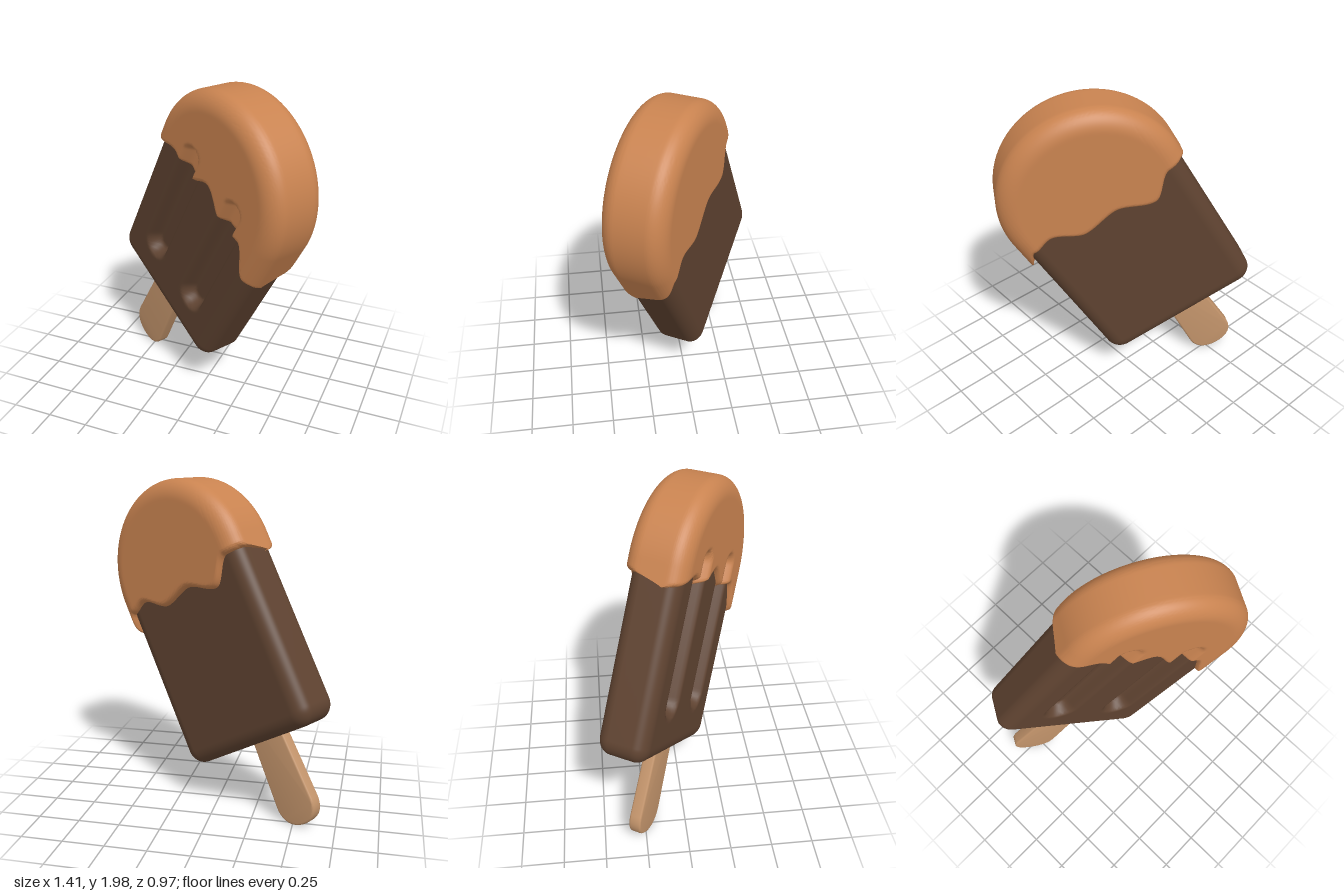
import * as THREE from 'three';
import { mergeVertices, toCreasedNormals } from 'three/addons/utils/BufferGeometryUtils.js';

const { clamp, lerp, smoothstep } = THREE.MathUtils;
const DOME_Y = 1.36; // centre height of the round top

// Sizes of the chocolate bar and of the coating that wraps it
const BAR = { width: 0.512, depth: 0.153, round: 0.08, base: 0.245, corner: 0.1 };
const COAT = { width: 0.542, depth: 0.186, round: 0.1, base: -9, corner: 0.1 };

// Lower edge of the coating, [across, height], on each face
const DRIP_FRONT = [[-0.55, 1.235], [-0.34, 1.31], [-0.2, 1.245], [-0.02, 1.36],
  [0.2, 1.235], [0.33, 1.28], [0.48, 1.1], [0.55, 1.085]];
const DRIP_BACK = [[-0.55, 1.28], [-0.43, 1.28], [-0.27, 1.147], [-0.05, 1.235],
  [0.15, 1.205], [0.34, 1.3], [0.46, 1.27], [0.55, 1.15]];

// Smooth wave through the key points
function drip(keys, u) {
  let i = 0;
  while (i < keys.length - 2 && u > keys[i + 1][0]) i++;
  const [a, b] = [keys[i], keys[i + 1]];
  return lerp(a[1], b[1], smoothstep(u, a[0], b[0]));
}

// Distance from the outline (straight sides, round top, rounded lower corners)
function inset(s, u, v) {
  if (v > DOME_Y) return s.width - Math.hypot(u, v - DOME_Y);
  const qx = Math.abs(u) - s.width + s.corner, qy = s.base + s.corner - v;
  return s.corner - Math.hypot(Math.max(qx, 0), Math.max(qy, 0)) - Math.min(Math.max(qx, qy), 0);
}

// Half thickness: flat in the middle, rounded off towards the outline
function thickness(s, u, v) {
  const t = 1 - clamp(inset(s, u, v) / (s.round * 1.15), 0, 1);
  return s.depth - s.round + s.round * Math.sqrt(1 - t * t);
}

// Two long round-ended grooves in the front face
function groove(u, v, shrink) {
  const d = Math.hypot(Math.abs(u) - 0.21, v - clamp(v, 0.58, 1.4)) + shrink;
  return 0.08 * (1 - smoothstep(d, 0.05, 0.105));
}

const barFront = (u, v) => thickness(BAR, u, v) - groove(u, v, 0);
const barBack = (u, v) => thickness(BAR, u, v);

// Bends a finely divided box into a slab with a round top.
// bottom(u, c) gives the lower edge, front and back the depth of each face.
function slab(s, [nx, ny, nz], bottom, front, back, crease) {
  const geo = new THREE.BoxGeometry(2, 2, 2, nx, ny, nz);
  const p = geo.attributes.position;
  for (let i = 0; i < p.count; i++) {
    const c = p.getZ(i);
    const u = s.width * Math.sin(p.getX(i) * Math.PI / 2);
    const k = 0.5 + 0.5 * Math.sin(p.getY(i) * Math.PI / 2);
    const top = DOME_Y + Math.sqrt(Math.max(0, s.width ** 2 - u * u));
    const low = bottom(u, c);
    const v = lerp(low, top, k);
    p.setXYZ(i, u, v, lerp(-back(u, v), front(u, v), (c + 1) / 2));
  }
  geo.deleteAttribute('uv');
  geo.deleteAttribute('normal');
  const merged = mergeVertices(geo, 1e-6);
  if (crease) return toCreasedNormals(merged, crease);
  merged.computeVertexNormals();
  return merged;
}

function barGeometry() {
  const bottom = (u) => {
    const q = Math.max(0, Math.abs(u) - BAR.width + BAR.corner);
    return BAR.base + BAR.corner - Math.sqrt(Math.max(0, BAR.corner ** 2 - q * q));
  };
  return slab(BAR, [140, 110, 6], bottom, barFront, barBack);
}

function coatGeometry() {
  // The face swells from the bar's surface into a rounded lip along the drips
  const face = (keys, inner, outer) => (u, v) => {
    const t = 1 - clamp((v - drip(keys, u)) / 0.035, 0, 1);
    return lerp(inner(u, v) - 0.008, outer(u, v), Math.sqrt(1 - t * t));
  };
  const bottom = (u, c) => lerp(drip(DRIP_BACK, u), drip(DRIP_FRONT, u), (c + 1) / 2);
  const front = face(DRIP_FRONT, barFront, (u, v) => thickness(COAT, u, v) - groove(u, v, 0.025));
  const back = face(DRIP_BACK, barBack, (u, v) => thickness(COAT, u, v));
  return slab(COAT, [140, 64, 8], bottom, front, back, 1);
}

// Flat stick, a little wider at its rounded lower end
function stickGeometry() {
  const b = 0.012, bottom = -0.29 + b, wide = 0.142 - b, narrow = 0.112 - b;
  const shape = new THREE.Shape();
  shape.moveTo(narrow, 0.5);
  shape.lineTo(-narrow, 0.5);
  shape.lineTo(-wide, bottom + 0.12);
  shape.bezierCurveTo(-wide, bottom + 0.04, -0.075, bottom, 0, bottom);
  shape.bezierCurveTo(0.075, bottom, wide, bottom + 0.04, wide, bottom + 0.12);
  shape.closePath();
  const geo = new THREE.ExtrudeGeometry(shape, {
    depth: 0.075 - 2 * b, bevelThickness: b, bevelSize: b, bevelSegments: 3, curveSegments: 16,
  });
  geo.translate(-0.03, 0, -0.0375 + b);
  return toCreasedNormals(geo, 0.6);
}

export function createModel() {
  const model = new THREE.Group();
  model.name = 'icePop';
  const add = (name, geometry, color, z) => {
    const mesh = new THREE.Mesh(geometry, new THREE.MeshStandardMaterial({ color }));
    mesh.name = name;
    mesh.position.set(-0.545, 0, z);
    model.add(mesh);
  };
  add('chocolateBar', barGeometry(), 0x5e4230, -0.013);
  add('caramelCoating', coatGeometry(), 0xc98350, -0.016);
  add('stick', stickGeometry(), 0xc3946b, 0.0425);

  // Leaning to one side and turned
  model.rotation.set(0, -Math.PI / 6, -Math.PI / 6);
  const root = new THREE.Group();
  root.add(model);
  return root;
}
